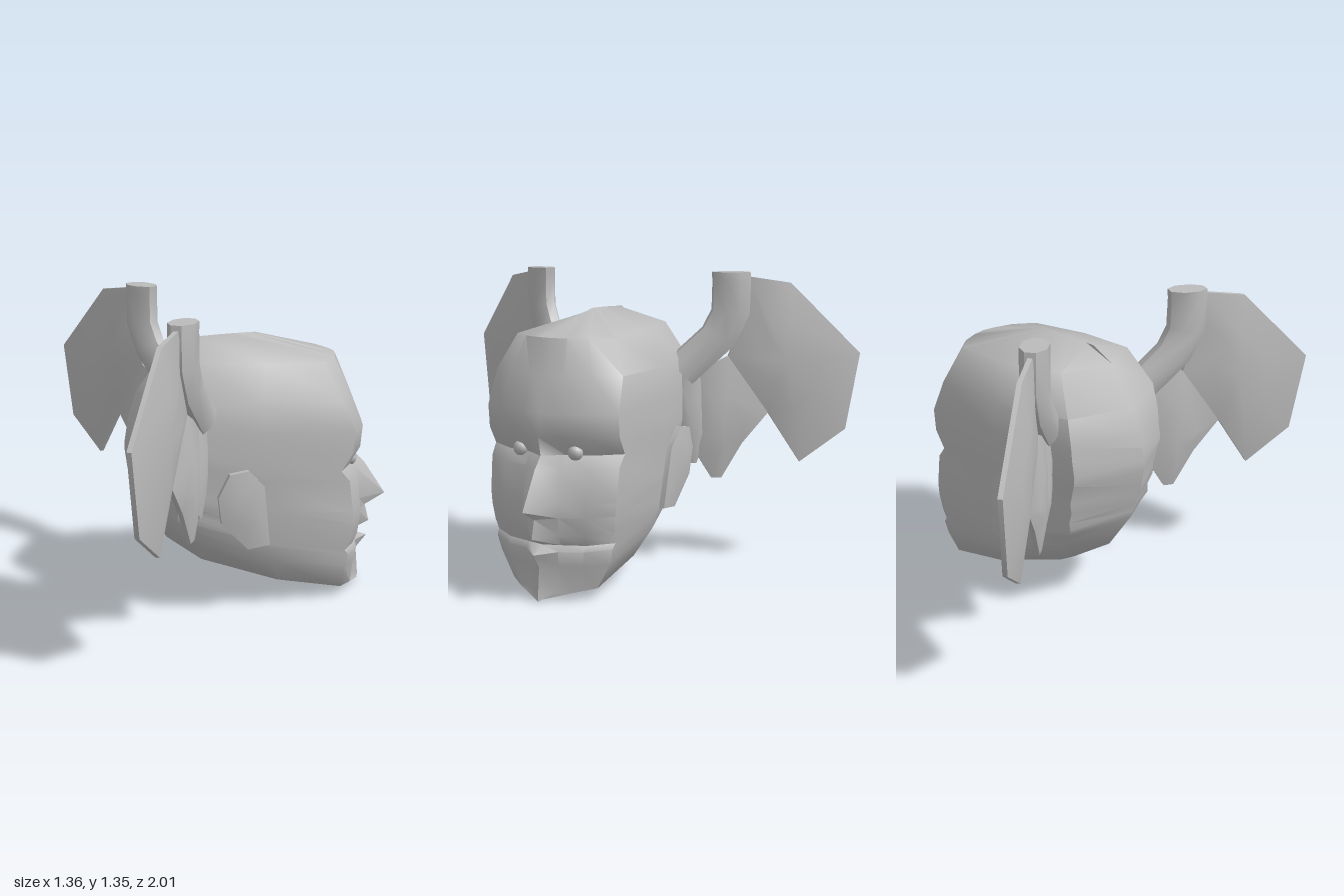
import * as THREE from 'three';
import { toCreasedNormals, mergeVertices } from 'three/addons/utils/BufferGeometryUtils.js';

const grey = new THREE.MeshStandardMaterial({ color: 0xbbbbbb });
grey.name = 'plain grey';

// Closed skin over equal-length loops of [x, y, z] points, capped at both ends and facing outward.
function loft(loops, crease) {
  const n = loops[0].length, pos = loops.flat(2), index = [];
  for (let r = 0; r < loops.length - 1; r++) {
    for (let i = 0; i < n; i++) {
      const a = r * n + i, b = r * n + (i + 1) % n;
      index.push(a, b, b + n, a, b + n, a + n);
    }
  }
  [0, loops.length - 1].forEach((r, end) => {
    const centre = pos.length / 3;
    for (let k = 0; k < 3; k++) pos.push(loops[r].reduce((s, p) => s + p[k], 0) / n);
    for (let i = 0; i < n; i++) {
      const a = r * n + i, b = r * n + (i + 1) % n;
      index.push(centre, end ? a : b, end ? b : a);
    }
  });
  // flip the faces when the enclosed volume is negative
  let volume = 0;
  const v = (i) => new THREE.Vector3().fromArray(pos, i * 3);
  for (let i = 0; i < index.length; i += 3) {
    volume += v(index[i]).dot(v(index[i + 1]).cross(v(index[i + 2])));
  }
  if (volume < 0) index.reverse();
  let g = new THREE.BufferGeometry();
  g.setAttribute('position', new THREE.Float32BufferAttribute(pos, 3));
  g.setIndex(index);
  g = mergeVertices(g, 1e-4);
  return toCreasedNormals(g, crease);
}

function add(parent, name, geometry) {
  const m = new THREE.Mesh(geometry, grey);
  m.name = name;
  parent.add(m);
  return m;
}

// Tilted head rings, chin to crown: front x, front y, face x, back x, back y, half width.
const RINGS = [
  [0.55, 0, 0.55, -0.15, 0.135, 0],
  [0.55, 0.03, 0.50, -0.36, 0.28, 0.22],
  [0.54, 0.15, 0.50, -0.44, 0.40, 0.285],
  [0.59, 0.21, 0.51, -0.48, 0.46, 0.30],
  [0.51, 0.24, 0.49, -0.49, 0.49, 0.305],
  [0.60, 0.28, 0.51, -0.50, 0.53, 0.31],
  [0.58, 0.36, 0.52, -0.52, 0.58, 0.32],
  [0.675, 0.41, 0.52, -0.53, 0.62, 0.325],
  [0.57, 0.57, 0.50, -0.54, 0.70, 0.33],
  [0.52, 0.62, 0.46, -0.54, 0.74, 0.335],
  [0.54, 0.70, 0.51, -0.53, 0.80, 0.335],
  [0.53, 0.80, 0.52, -0.52, 0.86, 0.335],
  [0.47, 0.95, 0.46, -0.48, 0.97, 0.325],
  [0.41, 1.10, 0.40, -0.36, 1.13, 0.25],
  [0.05, 1.20, 0.05, -0.25, 1.19, 0],
];

function headLoop([xf, yf, face, xb, yb, w]) {
  const mix = THREE.MathUtils.lerp;
  const half = [
    [xf, 0], [face, 0.25], [face - 0.03, 0.6], [face - 0.1, 0.93],
    [mix(xf, xb, 0.5), 1.04], [mix(xf, xb, 0.87), 0.86], [xb, 0],
  ].map(([x, f]) => {
    const u = Math.max(0, (xf - x) / (xf - xb));
    return [x, mix(yf, yb, u ** 1.5), f * w];
  });
  const other = half.slice(1, -1).reverse().map(([x, y, z]) => [x, y, -z]);
  return [...half, ...other];
}

// Lens-shaped plate: an outline with a thin rim and a thicker middle.
function plate(outline, rim, bulge, place) {
  const n = outline.length;
  const ca = outline.reduce((s, p) => s + p[0], 0) / n;
  const cb = outline.reduce((s, p) => s + p[1], 0) / n;
  const loop = (k, t) => outline.map(([a, b]) => place(ca + (a - ca) * k, cb + (b - cb) * k, t));
  return loft([loop(0.45, bulge), loop(1, rim), loop(1, -rim), loop(0.45, -bulge)], 0.9);
}

// Wing outlines as (distance from the centre plane, height).
const OUTER = [[0.55, 1.33], [0.72, 1.3], [1.0, 0.98], [0.95, 0.63], [0.77, 0.48],
  [0.64, 0.71], [0.48, 0.97], [0.55, 1.18]];
const MIDDLE = [[0.36, 0.9], [0.48, 0.97], [0.64, 0.71], [0.54, 0.57], [0.46, 0.41],
  [0.42, 0.41], [0.35, 0.54]];
const INNER = [[0.28, 0.92], [0.38, 0.9], [0.4, 0.6], [0.36, 0.48], [0.33, 0.48], [0.29, 0.6]];
const EAR = [[-0.205, 0.57], [-0.155, 0.67], [-0.07, 0.68], [0, 0.6], [0.03, 0.33],
  [-0.07, 0.32], [-0.19, 0.45]];
// Arm centre line with the slope of each section: distance, height, direction.
const ARM = [[0.29, 0.9, 0.75], [0.44, 1.06, 0.95], [0.487, 1.17, 1.4], [0.49, 1.31, 1.57],
  [0.487, 1.35, 1.57]];

export function createModel() {
  const model = new THREE.Group();
  model.name = 'wingedHead';
  add(model, 'head', loft(RINGS.map(headLoop), 0.9));

  for (const side of [1, -1]) {
    const label = side > 0 ? 'left' : 'right';
    const wing = new THREE.Group();
    wing.name = label + 'Wing';
    model.add(wing);

    // the wing plane sweeps outward and back
    const onWing = (d, y, t) =>
      [-0.25 - 0.6 * (d - 0.29) + 0.857 * t, y, side * (d + 0.514 * t)];
    add(wing, 'outerPanel', plate(OUTER, 0.01, 0.04, onWing));
    add(wing, 'middlePanel', plate(MIDDLE, 0.01, 0.035, onWing));
    add(wing, 'innerPanel', plate(INNER, 0.01, 0.03, onWing));

    const arm = ARM.map(([d, y, dir]) => Array.from({ length: 8 }, (_, i) => {
      const a = (i + 0.5) * Math.PI / 4, r = 0.078 * Math.cos(a);
      return onWing(d + r * Math.sin(dir), y - r * Math.cos(dir), 0.06 * Math.sin(a));
    }));
    add(wing, 'wingArm', loft(arm, 0.9));

    // ears lean out toward the top and back
    const onSide = (x, y, t) => [x, y, side * (0.335 + (y - 0.33) * 0.07 - x * 0.08 + t)];
    add(model, label + 'Ear', plate(EAR, 0.012, 0.026, onSide));

    // eyes sunk in the sockets
    const eye = add(model, label + 'Eye', new THREE.SphereGeometry(0.035, 8, 6));
    eye.position.set(0.455, 0.635, side * 0.13);
  }
  return model;
}
